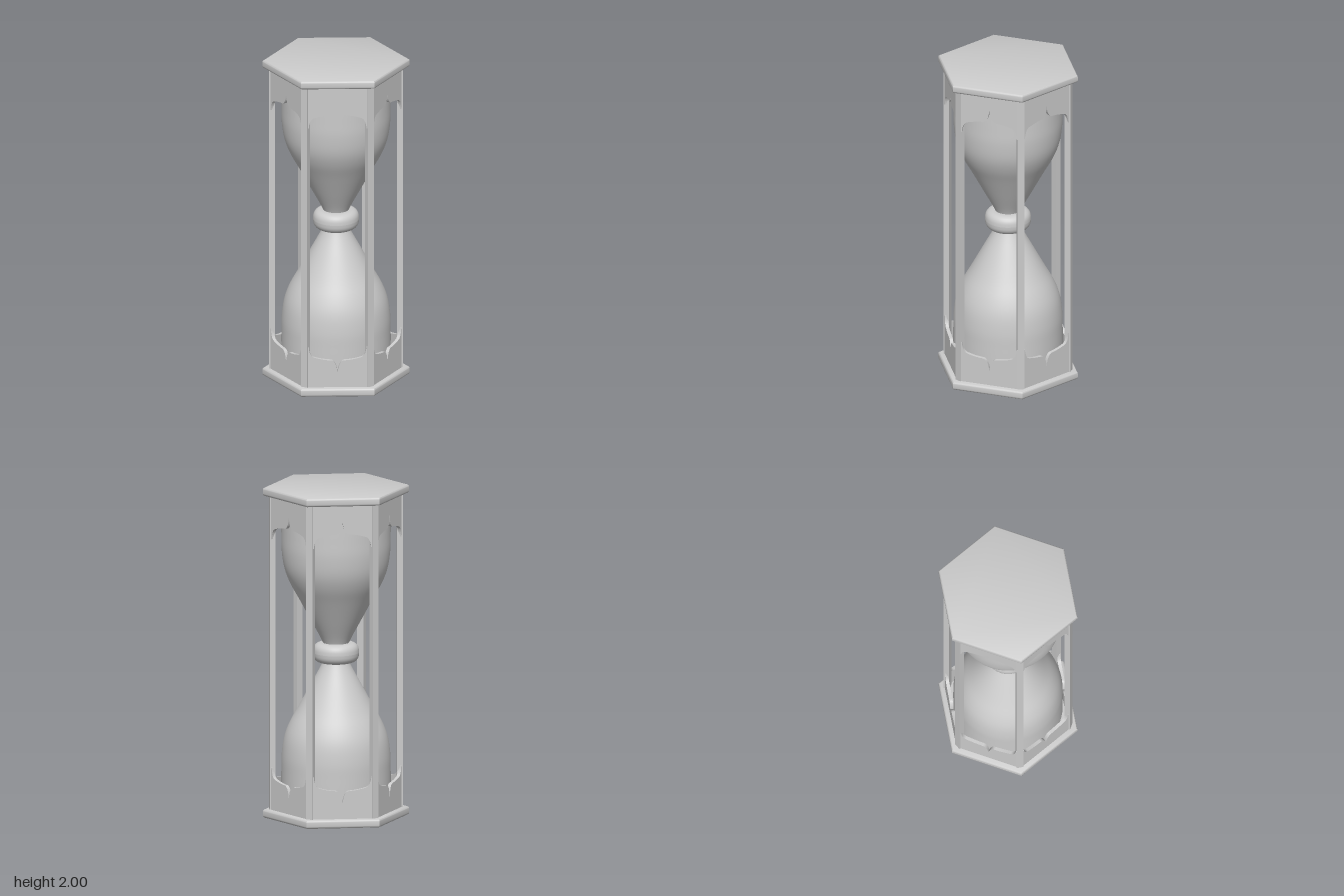
import * as THREE from 'three';
import { toCreasedNormals } from 'three/addons/utils/BufferGeometryUtils.js';

const material = new THREE.MeshStandardMaterial({ color: 0xcccccc });
const glassMaterial = new THREE.MeshStandardMaterial({ color: 0xcccccc, side: THREE.DoubleSide });

function addMesh(parent, name, geometry, mat = material) {
  const mesh = new THREE.Mesh(geometry, mat);
  mesh.name = name;
  parent.add(mesh);
  return mesh;
}

// Hexagonal end plate with a rounded rim, standing on y = 0
function plateGeometry(radius, height, bevel) {
  const corners = [];
  for (let i = 0; i < 6; i++) {
    const a = (i * Math.PI) / 3;
    corners.push(new THREE.Vector2(radius * Math.cos(a), radius * Math.sin(a)));
  }
  const g = new THREE.ExtrudeGeometry(new THREE.Shape(corners), {
    depth: height - 2 * bevel, bevelThickness: bevel, bevelSize: bevel,
    bevelOffset: -bevel, bevelSegments: 4,
  });
  g.translate(0, 0, bevel).rotateX(-Math.PI / 2);
  return toCreasedNormals(g, 0.6);
}

// Upper panel whose lower edge has a central notch and drooping ends
function panelGeometry() {
  const s = new THREE.Shape();
  s.moveTo(0.18, 1.96);
  s.lineTo(-0.18, 1.96);
  s.lineTo(-0.18, 1.69);
  s.lineTo(-0.172, 1.69);
  s.quadraticCurveTo(-0.166, 1.75, -0.138, 1.757);
  s.quadraticCurveTo(-0.09, 1.772, -0.04, 1.775);
  s.quadraticCurveTo(-0.009, 1.778, 0, 1.85);
  s.quadraticCurveTo(0.009, 1.778, 0.04, 1.775);
  s.quadraticCurveTo(0.09, 1.772, 0.138, 1.757);
  s.quadraticCurveTo(0.166, 1.75, 0.172, 1.69);
  s.lineTo(0.18, 1.69);
  const g = new THREE.ExtrudeGeometry(s, { depth: 0.02, bevelEnabled: false, curveSegments: 8 });
  return g.translate(0, 0, 0.328);
}

export function createModel() {
  const model = new THREE.Group();
  model.name = 'hourglass';

  // End plates
  const plate = plateGeometry(0.437, 0.052, 0.014);
  addMesh(model, 'bottomPlate', plate);
  addMesh(model, 'topPlate', plate).position.y = 1.948;

  // Six corner posts
  const post = new THREE.BoxGeometry(0.035, 1.92, 0.042);
  post.translate(0.38, 1, 0);
  // Six pairs of cut-out panels; the lower one is the upper turned over
  const upper = panelGeometry();
  const lower = upper.clone().translate(0, -1, -0.338).rotateZ(Math.PI).translate(0, 0.996, 0.338);
  for (let i = 0; i < 6; i++) {
    const angle = (i * Math.PI) / 3;
    addMesh(model, 'post', post).rotation.y = angle;
    addMesh(model, 'upperPanel', upper).rotation.y = angle;
    addMesh(model, 'lowerPanel', lower).rotation.y = angle;
  }

  // Glass bulbs, mirrored about the waist
  const side = new THREE.SplineCurve([
    [0.065, 0], [0.08, 0.063], [0.15, 0.195], [0.22, 0.325], [0.275, 0.425],
    [0.308, 0.515], [0.323, 0.62], [0.325, 0.72], [0.325, 0.83], [0.325, 0.955],
  ].map(([r, y]) => new THREE.Vector2(r, y))).getPoints(40);
  const upperBulb = side.map((p) => new THREE.Vector2(p.x, 0.996 + p.y));
  const lowerBulb = side.map((p) => new THREE.Vector2(p.x, 0.996 - p.y)).reverse();
  addMesh(model, 'upperBulb', new THREE.LatheGeometry(upperBulb, 64), glassMaterial);
  addMesh(model, 'lowerBulb', new THREE.LatheGeometry(lowerBulb, 64), glassMaterial);

  // Rounded collar around the waist
  const soft = (v) => Math.sign(v) * Math.abs(v) ** 0.8;
  const ring = [];
  for (let i = 0; i <= 32; i++) {
    const a = (i / 32) * Math.PI * 2;
    ring.push(new THREE.Vector2(0.0775 + 0.06 * soft(Math.cos(a)), 0.06 * soft(Math.sin(a))));
  }
  addMesh(model, 'collar', new THREE.LatheGeometry(ring, 48)).position.y = 0.994;

  return model;
}
